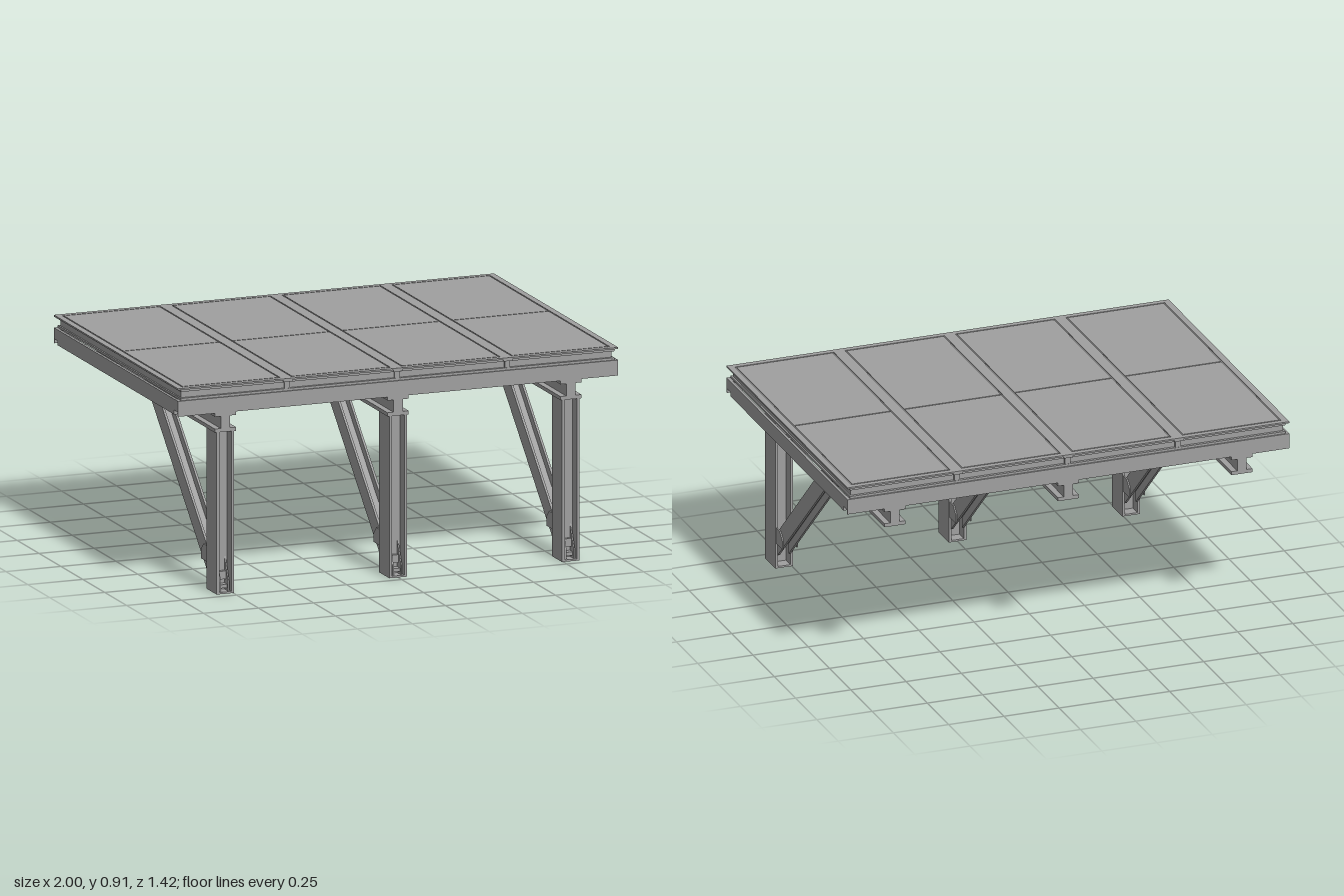
import * as THREE from 'three';

export function createModel() {
  const model = new THREE.Group();
  const steel = new THREE.MeshStandardMaterial({ color: 0xa0a0a0 });
  steel.name = 'grey steel';

  const add = (parent, name, geo) => {
    const mesh = new THREE.Mesh(geo, steel);
    mesh.name = name;
    parent.add(mesh);
    return mesh;
  };
  // Box given by its limits on each axis
  const box = (parent, name, x0, x1, y0, y1, z0, z1) => {
    const geo = new THREE.BoxGeometry(x1 - x0, y1 - y0, z1 - z0);
    geo.translate((x0 + x1) / 2, (y0 + y1) / 2, (z0 + z1) / 2);
    return add(parent, name, geo);
  };
  // Plate from a side outline of [z, y] points, spanning x0 to x1
  const sidePlate = (parent, name, pts, x0, x1) => {
    const shape = new THREE.Shape(pts.map(([z, y]) => new THREE.Vector2(z, y)));
    const geo = new THREE.ExtrudeGeometry(shape, { depth: x1 - x0, bevelEnabled: false });
    geo.rotateY(-Math.PI / 2);
    geo.translate(x1, 0, 0);
    return add(parent, name, geo);
  };
  const group = (name) => {
    const g = new THREE.Group();
    g.name = name;
    model.add(g);
    return g;
  };

  // Three support frames: column, diagonal brace and main beam
  for (const x of [-0.785, 0, 0.785]) {
    const f = group('supportFrame');
    f.position.x = x;

    // Column: two side flanges, a cross web and a base plate
    for (const s of [-1, 1]) {
      box(f, 'columnFlange', s * 0.034 - 0.006, s * 0.034 + 0.006, 0, 0.704, 0.592, 0.71);
    }
    box(f, 'columnWeb', -0.028, 0.028, 0, 0.704, 0.644, 0.658);
    box(f, 'basePlate', -0.028, 0.028, 0, 0.008, 0.592, 0.71);
    // Foot bracket in the front recess
    for (const s of [-1, 1]) {
      sidePlate(f, 'footRib', [[0.658, 0.008], [0.7, 0.008], [0.7, 0.05], [0.658, 0.15]],
        s * 0.019 - 0.003, s * 0.019 + 0.003);
    }
    box(f, 'footBlock', -0.016, 0.016, 0.02, 0.035, 0.658, 0.69);
    box(f, 'footBlock', -0.016, 0.016, 0.055, 0.09, 0.658, 0.675);

    // Diagonal brace: two side flanges and a web between them
    const brace = [[0.592, 0.059], [0.592, 0.166], [0.04, 0.688], [-0.078, 0.688]];
    for (const s of [-1, 1]) {
      sidePlate(f, 'braceFlange', brace, s * 0.025 - 0.005, s * 0.025 + 0.005);
      sidePlate(f, 'braceGusset',
        [[0.592, 0.115], [0.52, 0.115], [0.52, 0.155], [0.55, 0.185], [0.592, 0.185]],
        s * 0.033 - 0.003, s * 0.033 + 0.003);
    }
    sidePlate(f, 'braceWeb', [[0.592, 0.106], [0.592, 0.119], [-0.012, 0.688], [-0.026, 0.688]], -0.02, 0.02);
    box(f, 'braceHeadPlate', -0.04, 0.04, 0.688, 0.704, -0.115, 0.08);

    // Main beam with wide flanges
    box(f, 'mainBeamBottomFlange', -0.048, 0.048, 0.704, 0.72, -0.71, 0.71);
    box(f, 'mainBeamWeb', -0.021, 0.021, 0.72, 0.773, -0.71, 0.71);
    box(f, 'mainBeamTopFlange', -0.048, 0.048, 0.773, 0.788, -0.71, 0.71);
  }

  // Lower deck frame
  const lower = group('lowerDeckFrame');
  for (const s of [-1, 1]) {
    const zs = (a, b) => (s > 0 ? [a, b] : [-b, -a]);
    box(lower, 'edgeBeamSkin', -1, 1, 0.788, 0.855, ...zs(0.703, 0.71));
    box(lower, 'edgeBeamBody', -1, 1, 0.807, 0.855, ...zs(0.665, 0.703));
    box(lower, 'sideBeamWeb', ...zs(0.988, 1), 0.788, 0.855, -0.665, 0.665);
    box(lower, 'sideBeamFlange', ...zs(0.94, 0.988), 0.788, 0.797, -0.665, 0.665);
  }
  box(lower, 'middleBeamWeb', -0.988, 0.988, 0.797, 0.855, -0.008, 0.008);
  box(lower, 'middleBeamFlange', -0.988, 0.988, 0.788, 0.797, -0.04, 0.04);

  // Upper deck: four closed modules side by side with a recessed rim
  const upper = group('upperDeck');
  for (let i = 0; i < 4; i++) {
    const x0 = i === 0 ? -0.978 : -1 + i * 0.5 + 0.001;
    const x1 = i === 3 ? 0.978 : -0.5 + i * 0.5 - 0.001;
    box(upper, 'deckModule', x0, x1, 0.853, 0.903, -0.69, 0.69);
  }
  box(upper, 'rimBottomLip', -0.985, 0.985, 0.855, 0.865, -0.703, 0.703);
  box(upper, 'rimTopLip', -0.985, 0.985, 0.893, 0.903, -0.703, 0.703);
  box(upper, 'topPlate', -1, 1, 0.903, 0.9075, -0.71, 0.71);

  // Border strips and seam covers on the top
  for (const s of [-1, 1]) {
    box(upper, 'sideBorder', s * 0.986 - 0.014, s * 0.986 + 0.014, 0.9075, 0.91, -0.71, 0.71);
    box(upper, 'endBorder', -0.972, 0.972, 0.9075, 0.91, s * 0.697 - 0.013, s * 0.697 + 0.013);
  }
  for (const x of [-0.5, 0, 0.5]) {
    box(upper, 'seamCover', x - 0.025, x + 0.025, 0.9075, 0.91, -0.684, 0.684);
  }
  // Eight floor panels separated by narrow gaps
  for (let i = 0; i < 4; i++) {
    const x0 = -1 + i * 0.5 + (i === 0 ? 0.034 : 0.031);
    const x1 = -0.5 + i * 0.5 - (i === 3 ? 0.034 : 0.031);
    box(upper, 'floorPanel', x0, x1, 0.9075, 0.91, -0.678, -0.003);
    box(upper, 'floorPanel', x0, x1, 0.9075, 0.91, 0.003, 0.678);
  }

  // Joint brackets in the rim at each module seam
  for (const x of [-0.5, 0, 0.5]) {
    for (const s of [-1, 1]) {
      box(upper, 'jointBracket', x - 0.012, x + 0.012, 0.865, 0.893, s * 0.695 - 0.006, s * 0.695 + 0.006);
      box(upper, 'jointClip', x - 0.02, x + 0.02, 0.895, 0.903, s * 0.704 - 0.005, s * 0.704 + 0.005);
    }
  }
  return model;
}
